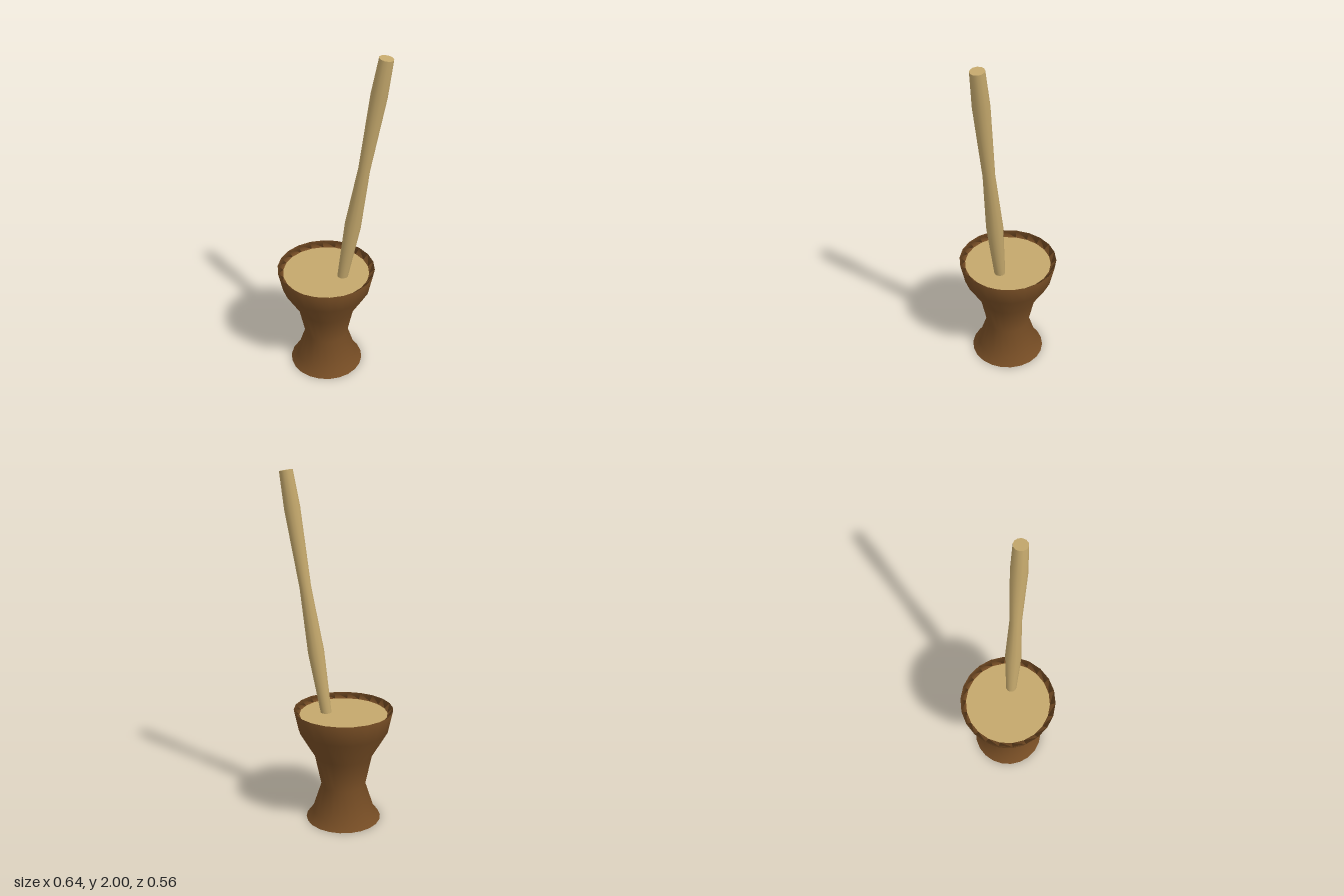
import * as THREE from 'three';

const SIDES = 22;

function lathe(points, sides) {
  return new THREE.LatheGeometry(points.map(([r, y]) => new THREE.Vector2(r, y)), sides, Math.PI / 2);
}

function add(parent, name, geometry, material) {
  const mesh = new THREE.Mesh(geometry, material);
  mesh.name = name;
  parent.add(mesh);
  return mesh;
}

// Flat disc facing up or down at height y
function disc(radius, sides, y, up) {
  return new THREE.CircleGeometry(radius, sides).rotateX(up ? -Math.PI / 2 : Math.PI / 2).translate(0, y, 0);
}

export function createModel() {
  const darkWood = new THREE.MeshStandardMaterial({ color: 0x754c24 });
  darkWood.name = 'dark wood';
  const paleWood = new THREE.MeshStandardMaterial({ color: 0xc4a86c });
  paleWood.name = 'pale wood';

  const model = new THREE.Group();
  model.name = 'mortarAndPestle';

  // Waisted mortar, with a sharp rim sloping inwards to the contents
  const mortar = new THREE.Group();
  mortar.name = 'mortar';
  mortar.position.x = -0.036;
  model.add(mortar);
  add(mortar, 'mortarBody', lathe([
    [0.217, 0], [0.18, 0.05], [0.128, 0.21], [0.167, 0.395],
    [0.257, 0.55], [0.283, 0.672], [0.251, 0.643],
  ], SIDES), darkWood);
  add(mortar, 'mortarBase', disc(0.217, SIDES, 0, false), darkWood);
  add(mortar, 'mortarContents', disc(0.251, SIDES, 0.643, true), paleWood);

  // Leaning pestle with two swellings
  const pestle = new THREE.Group();
  pestle.name = 'pestle';
  pestle.position.set(0.064, 0.63, 0);
  pestle.rotation.z = -Math.atan(0.159);
  model.add(pestle);
  const length = 1.381;
  add(pestle, 'pestleShaft', lathe([
    [0.031, 0], [0.047, 0.375], [0.033, 0.745], [0.045, 1.18], [0.038, length],
  ], 12), paleWood);
  add(pestle, 'pestleTop', disc(0.038, 12, length, true), paleWood);
  add(pestle, 'pestleFoot', disc(0.031, 12, 0, false), paleWood);

  return model;
}
